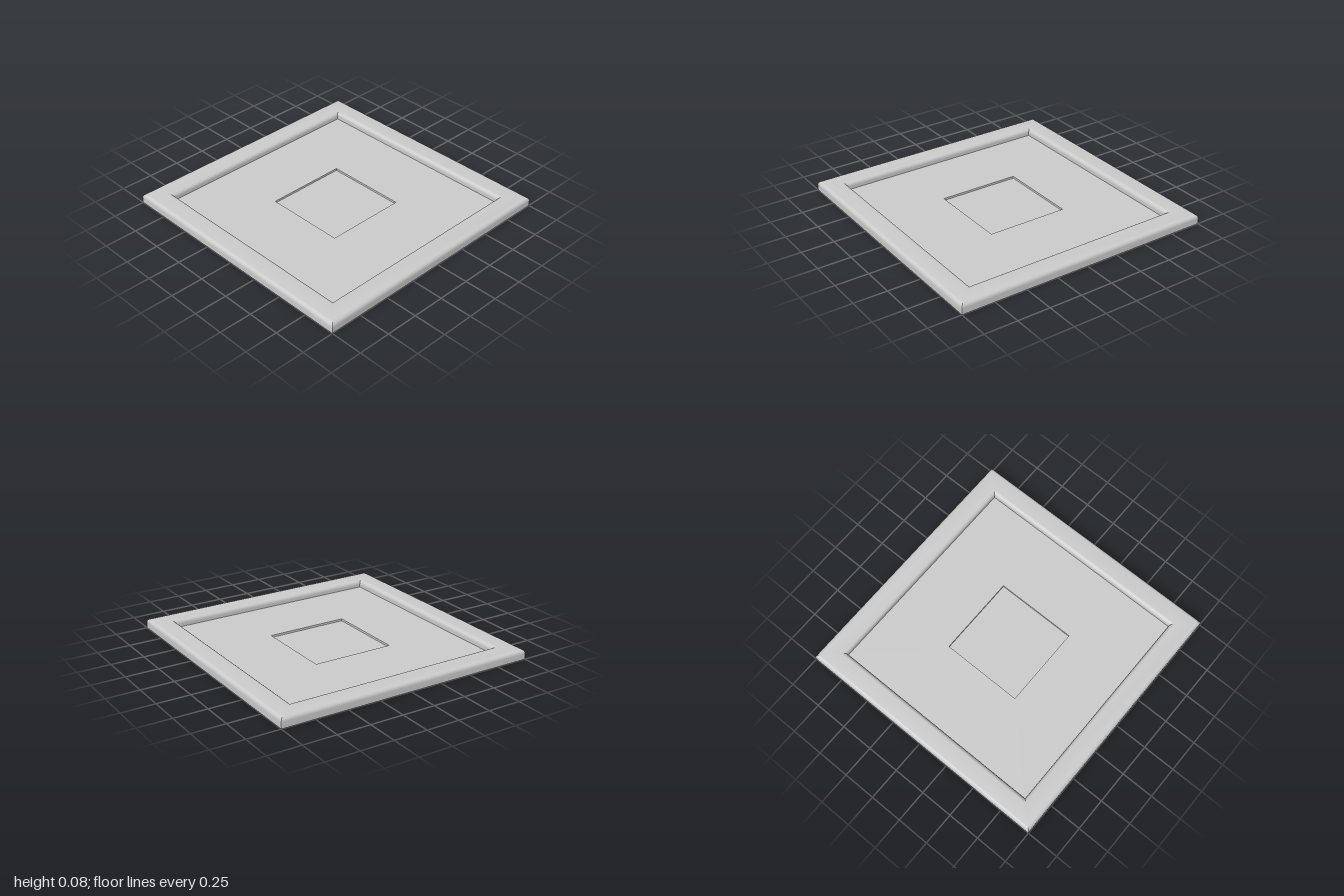
import * as THREE from 'three';
import { toCreasedNormals } from 'three/addons/utils/BufferGeometryUtils.js';

const HEIGHT = 0.075, RADIUS = 0.03, PANEL_Y = 0.02, POCKET_Y = 0.004;
const INNER = 0.835, POCKET = 0.3125;

// Sweeps a profile of [half width, height] points around a square with mitred corners
function squareSweep(name, profile, material) {
  const points = profile.map(([w, y]) => new THREE.Vector2(w * Math.SQRT2, y));
  const geometry = new THREE.LatheGeometry(points, 4, Math.PI / 4);
  const mesh = new THREE.Mesh(toCreasedNormals(geometry, 0.3), material);
  mesh.name = name;
  return mesh;
}

// Quarter-round edge points around a centre, from one angle to another
function arc(w, y, from, to, steps = 8) {
  return Array.from({ length: steps + 1 }, (_, i) => {
    const a = from + (to - from) * i / steps;
    return [w + RADIUS * Math.cos(a), y + RADIUS * Math.sin(a)];
  });
}

export function createModel() {
  const group = new THREE.Group();
  const material = new THREE.MeshStandardMaterial({ color: 0xcccccc });
  const arcY = HEIGHT - RADIUS;

  // Raised border, rounded on its outer and inner top edges
  group.add(squareSweep('frame', [
    [1, 0],
    ...arc(1 - RADIUS, arcY, 0, Math.PI / 2),
    ...arc(INNER + RADIUS, arcY, Math.PI / 2, Math.PI),
    [INNER, PANEL_Y],
  ], material));

  // Sunken panel around the central recess
  group.add(squareSweep('panel', [[INNER, PANEL_Y], [POCKET, PANEL_Y]], material));

  // Shallow square recess with its walls and floor
  group.add(squareSweep('centreRecess', [
    [POCKET, PANEL_Y], [POCKET, POCKET_Y], [0, POCKET_Y],
  ], material));

  // Flat underside
  group.add(squareSweep('underside', [[0, 0], [1, 0]], material));

  return group;
}
